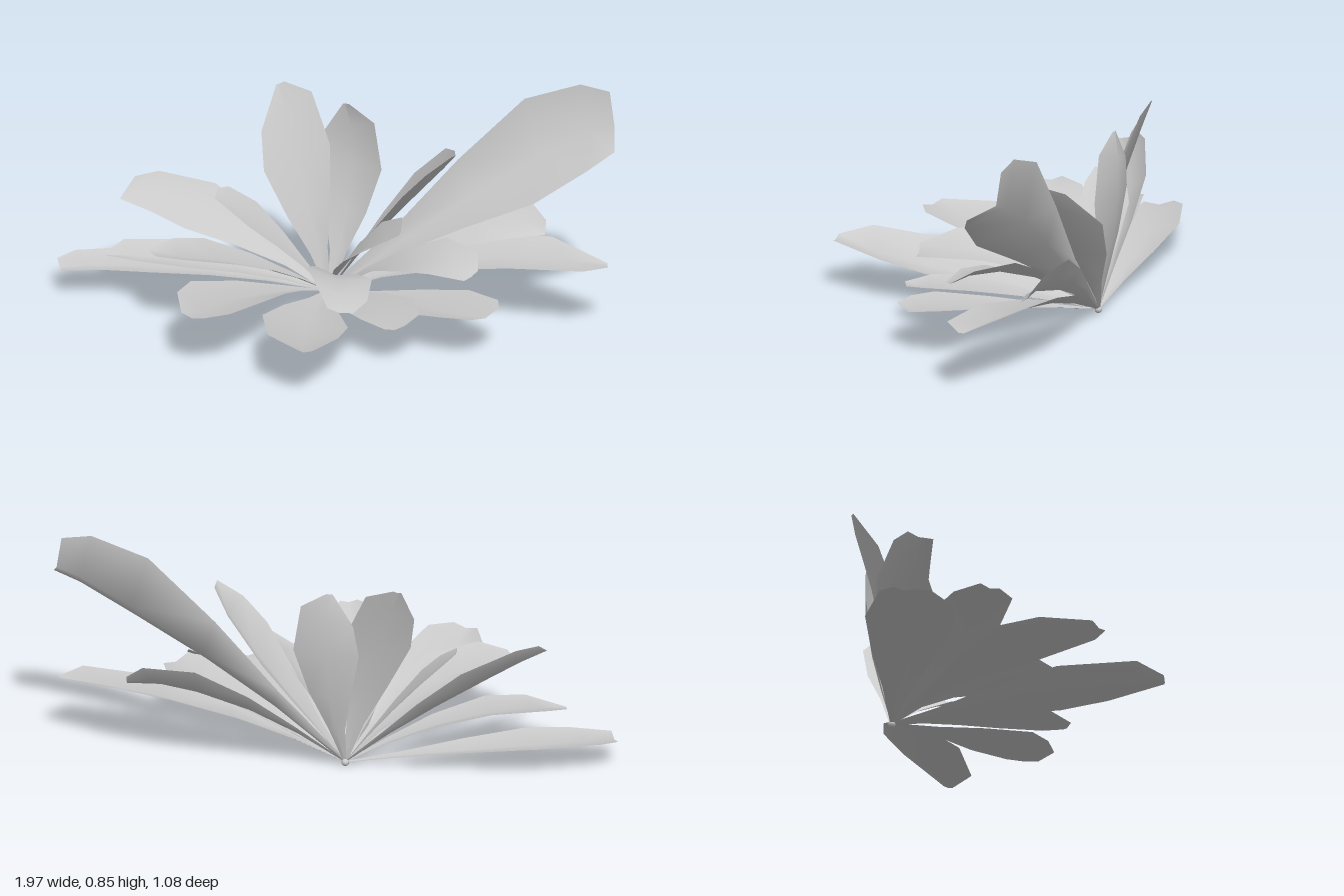
import * as THREE from 'three';

const V = (a) => new THREE.Vector3(...a);
const ROOT = V([-0.05, 0.015, -0.405]);
const material = new THREE.MeshStandardMaterial({ color: 0xcccccc, side: THREE.DoubleSide });

// One angular leaf. mid is the spine point at its widest part, half the vector
// from the spine to one edge there. end is the relative width of the tip,
// skew staggers the two shoulders, cup folds the edges up along the spine.
function leaf(name, tipAt, midAt, halfAt, { end = 0.12, skew = 0.05, cup = 0.24 } = {}) {
  const tip = V(tipAt), mid = V(midAt), half = V(halfAt);
  // Quadratic spine that passes through mid at t = 0.6
  const control = mid.clone().addScaledVector(ROOT, -0.16).addScaledVector(tip, -0.36).divideScalar(0.48);
  const spine = new THREE.QuadraticBezierCurve3(ROOT, control, tip);
  const rows = [[0, 0.05], [0.17, 0.26], [0.36, 0.65], [0.6, 1], [0.84, 0.82], [1, end]];
  const positions = [], index = [];
  rows.forEach(([t, width], r) => {
    const tangent = spine.getTangent(t);
    const normal = tangent.clone().cross(half).normalize();
    if (normal.y + normal.z * 0.8 < 0) normal.negate();
    const lift = 0.5 * cup * width * half.length();
    for (const side of [-1, 0, 1]) {
      const shift = r === 4 ? side * skew : 0;
      const p = spine.getPoint(t + shift).addScaledVector(half, side * width);
      p.addScaledVector(normal, side === 0 ? -lift : lift);
      positions.push(p.x, Math.max(p.y, 0), p.z);
    }
    if (r === 0) return;
    for (let c = 0; c < 2; c++) {
      const a = (r - 1) * 3 + c, b = a + 3;
      index.push(a, a + 1, b, a + 1, b + 1, b);
    }
  });
  const geometry = new THREE.BufferGeometry();
  geometry.setAttribute('position', new THREE.Float32BufferAttribute(positions, 3));
  geometry.setIndex(index);
  geometry.computeVertexNormals();
  const mesh = new THREE.Mesh(geometry, material);
  mesh.name = name;
  return mesh;
}

export function createModel() {
  const plant = new THREE.Group();
  plant.name = 'leafRosette';

  // Low leaves spreading to the front
  plant.add(
    leaf('frontLeaf', [0, 0.185, 0.54], [-0.05, 0.12, 0.18], [0.15, -0.015, 0], { end: 0.2, skew: -0.06, cup: 0.3 }),
    leaf('frontRightLeaf', [-0.42, 0.2, 0.33], [-0.34, 0.165, 0.05], [0.14, 0, 0.07], { end: 0.3 }),
    leaf('frontInnerLeaf', [0.08, 0.2, 0.21], [0.04, 0.23, -0.03], [0.11, -0.025, -0.02], { end: 0.4 }),
    leaf('frontLeftLeaf', [0.27, 0.14, 0.19], [0.19, 0.13, 0.0], [0.11, 0.01, -0.05], { end: 0.3 }),
    leaf('frontLeftOuterLeaf', [0.57, 0.16, 0.08], [0.4, 0.135, -0.04], [0.08, 0.005, -0.11], { end: 0.5 }),
    leaf('leftInnerLeaf', [0.5, 0.25, -0.05], [0.32, 0.26, -0.17], [0.07, 0.035, -0.08], { end: 0.3 }),
    leaf('leftCentreLeaf', [0.24, 0.37, -0.1], [0.1, 0.27, -0.23], [0.055, 0.045, -0.08]),
  );

  // Leaves to the model's left
  plant.add(
    leaf('leftUprightLeaf', [0.41, 0.61, -0.27], [0.25, 0.43, -0.37], [0, -0.015, -0.145], { end: 0.25, cup: 0.3 }),
    leaf('leftTallLeaf', [0.955, 0.73, -0.35], [0.68, 0.6, -0.35], [-0.03, 0.155, -0.1], { end: 0.57, skew: 0, cup: 0.5 }),
    leaf('leftBackLeaf', [0.71, 0.3, -0.4], [0.47, 0.3, -0.42], [0, 0.065, -0.06], { end: 0.3 }),
    leaf('leftLowLeaf', [0.95, 0.235, -0.25], [0.58, 0.225, -0.33], [0.03, -0.015, 0.13]),
  );

  // Leaves to the model's right
  plant.add(
    leaf('rightLowLeaf', [-0.98, 0.09, -0.31], [-0.7, 0.095, -0.37], [-0.03, 0.005, -0.1], { end: 0.5 }),
    leaf('rightMiddleLeaf', [-0.81, 0.17, -0.25], [-0.54, 0.17, -0.27], [-0.02, 0.01, -0.1]),
    leaf('rightHighLeaf', [-0.74, 0.41, -0.28], [-0.5, 0.32, -0.36], [0.04, 0.05, -0.09], { end: 0.5 }),
    leaf('rightInnerLeaf', [-0.61, 0.27, -0.04], [-0.39, 0.24, -0.13], [0.08, 0, 0.11], { end: 0.3 }),
    leaf('rightUprightLeaf', [-0.43, 0.4, -0.3], [-0.31, 0.31, -0.34], [0, 0.01, -0.09], { end: 0.4, cup: 0.1 }),
  );

  // Tall leaves standing at the back
  plant.add(
    leaf('backRightLeaf', [-0.24, 0.73, -0.535], [-0.17, 0.49, -0.45], [0.11, 0.04, -0.04]),
    leaf('backLeaf', [0, 0.69, -0.48], [0.015, 0.46, -0.485], [0.115, 0, 0.02], { end: 0.1 }),
  );

  // Small knot where the leaves meet
  const knot = new THREE.Mesh(new THREE.SphereGeometry(0.014, 8, 6), material);
  knot.name = 'rootKnot';
  knot.position.copy(ROOT).setY(0.014);
  plant.add(knot);

  return plant;
}
